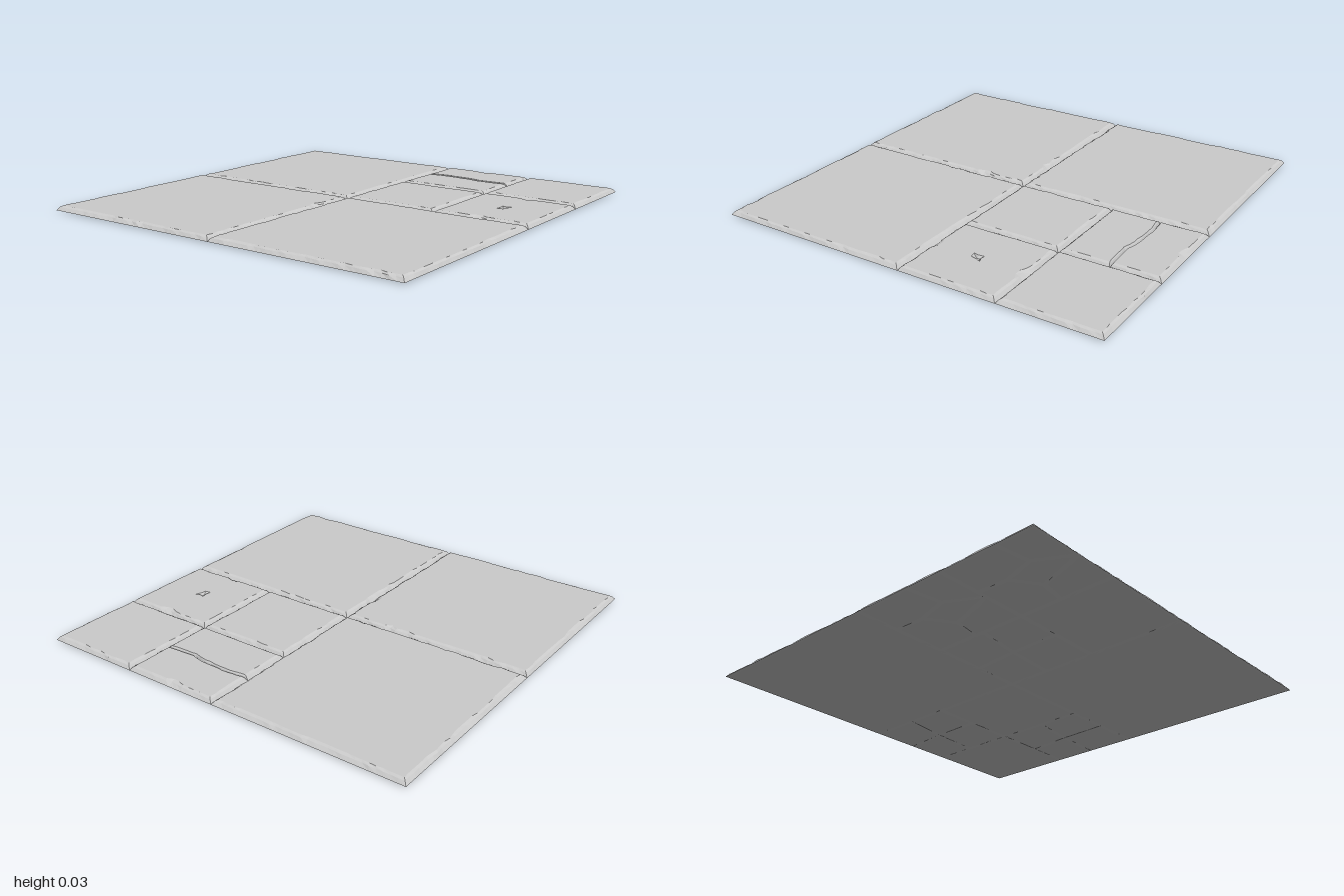
import * as THREE from 'three';

const FLOOR = 0.005, TOP = 0.027;
const stoneMat = new THREE.MeshStandardMaterial({ color: 0xcccccc, flatShading: true });

// Places where an edge is knocked out: x, z
const chips = [[0.98, 0.24], [0.48, 0.77], [0.02, 0.74], [-0.24, -0.02], [-0.02, -0.25]];

function seeded(seed) {
  let s = seed * 7919 + 17;
  return () => (s = (s * 16807) % 2147483647) / 2147483647;
}

// Moves the edges of a polygon inwards (one width per edge), corners mitred
function insetPolygon(poly, widths) {
  const n = poly.length;
  const edge = i => {
    const a = poly[i], b = poly[(i + 1) % n];
    const dx = b[0] - a[0], dz = b[1] - a[1], l = Math.hypot(dx, dz);
    return [-dz / l, dx / l];
  };
  return poly.map((p, i) => {
    const h = (i + n - 1) % n;
    const n0 = edge(h), n1 = edge(i);
    const det = n0[0] * n1[1] - n0[1] * n1[0];
    if (Math.abs(det) < 0.15) return [p[0] + n1[0] * widths[i], p[1] + n1[1] * widths[i]];
    return [
      p[0] + (widths[h] * n1[1] - widths[i] * n0[1]) / det,
      p[1] + (n0[0] * widths[i] - n1[0] * widths[h]) / det,
    ];
  });
}

// One worn stone: an outer loop in the groove, a mid loop and a ragged top loop
function stone(name, poly, { y0 = FLOOR, y1 = TOP, widths, width = 0.022, wear = 0.007, seed = 1, pit } = {}) {
  const rand = seeded(seed), n = poly.length;
  const w = widths || poly.map(() => width);
  const inner = insetPolygon(poly, w);
  const outerLoop = [], midLoop = [], topLoop = [];
  const midY = y0 + (y1 - y0) * 0.72;
  for (let i = 0; i < n; i++) {
    const j = (i + 1) % n, a = poly[i], b = poly[j], c = inner[i], d = inner[j];
    const len = Math.hypot(b[0] - a[0], b[1] - a[1]);
    const nx = -(b[1] - a[1]) / len, nz = (b[0] - a[0]) / len;
    const count = Math.max(2, Math.round(len / 0.035));
    let drift = 0;
    for (let k = 0; k < count; k++) {
      const t = k / count;
      if (rand() < 0.45) drift = rand() - 0.45;
      let push = k === 0 ? 0 : drift * wear;
      const ox = a[0] + (b[0] - a[0]) * t, oz = a[1] + (b[1] - a[1]) * t;
      let ix = c[0] + (d[0] - c[0]) * t, iz = c[1] + (d[1] - c[1]) * t;
      if (k > 0 && chips.some(p => Math.hypot(p[0] - ix, p[1] - iz) < 0.026)) push += 0.015;
      ix += nx * push;
      iz += nz * push;
      const m = 0.55 + (k ? (rand() - 0.5) * 0.2 : 0);
      outerLoop.push([ox, y0, oz]);
      midLoop.push([ox + (ix - ox) * m, midY, oz + (iz - oz) * m]);
      topLoop.push([ix, y1, iz]);
    }
  }

  const pos = [], up = Math.sign(y1 - y0);
  const tri = (a, b, c) => {
    const ny = (b[2] - a[2]) * (c[0] - a[0]) - (b[0] - a[0]) * (c[2] - a[2]);
    if (ny * up >= 0) pos.push(...a, ...b, ...c);
    else pos.push(...a, ...c, ...b);
  };
  const band = (lo, hi) => lo.forEach((p, i) => {
    const j = (i + 1) % lo.length;
    tri(p, lo[j], hi[j]);
    tri(p, hi[j], hi[i]);
  });
  band(outerLoop, midLoop);
  band(midLoop, topLoop);

  // Flat face, with a small pit where asked
  const hole = pit ? pit.map(([x, z]) => [x, y1, z]) : [];
  const flat = loop => loop.map(p => new THREE.Vector2(p[0], p[2]));
  const all = [...topLoop, ...hole];
  THREE.ShapeUtils.triangulateShape(flat(topLoop), pit ? [flat(hole)] : [])
    .forEach(f => tri(all[f[0]], all[f[1]], all[f[2]]));
  if (pit) {
    const cx = hole.reduce((s, p) => s + p[0], 0) / hole.length;
    const cz = hole.reduce((s, p) => s + p[2], 0) / hole.length;
    const low = hole.map(p => [cx + (p[0] - cx) * 0.4, y1 - 0.013 * up, cz + (p[2] - cz) * 0.4]);
    band(hole, low);
    low.forEach((p, i) => tri(p, low[(i + 1) % low.length], [cx, y1 - 0.013 * up, cz]));
  }

  const geo = new THREE.BufferGeometry();
  geo.setAttribute('position', new THREE.Float32BufferAttribute(pos, 3));
  geo.computeVertexNormals();
  const mesh = new THREE.Mesh(geo, stoneMat);
  mesh.name = name;
  return mesh;
}

const rect = (x, z, s) => [[x, z], [x + s, z], [x + s, z + s], [x, z + s]];

// Ways a square of the underside breaks up, in unit coordinates
const quartered = {
  points: [[0, 0], [0.46, 0], [1, 0], [1, 0.52], [1, 1], [0.55, 1], [0, 1], [0, 0.47], [0.52, 0.48]],
  faces: [[0, 1, 8, 7], [1, 2, 3, 8], [8, 3, 4, 5], [7, 8, 5, 6]],
};
const shattered = {
  points: [[0, 0], [0.4, 0], [1, 0], [1, 0.45], [1, 1], [0.55, 1], [0, 1], [0, 0.55], [0.35, 0.36], [0.68, 0.46], [0.5, 0.72]],
  faces: [[0, 1, 8, 7], [1, 2, 3, 9, 8], [9, 3, 4, 5, 10], [7, 8, 9, 10], [7, 10, 5, 6]],
};

export function createModel() {
  const model = new THREE.Group();
  model.name = 'stoneFloorSlab';

  // Upper face: three large tiles and a quarter of small ones
  const upper = new THREE.Group();
  upper.name = 'upperTiles';
  [[-1, -1], [0, -1], [-1, 0]].forEach(([x, z], i) =>
    upper.add(stone('largeTile', rect(x, z, 1), { width: 0.023, wear: 0.011, seed: i + 3 })));
  const pit = [[0.21, 0.728], [0.235, 0.733], [0.268, 0.729], [0.262, 0.75], [0.272, 0.775], [0.24, 0.763], [0.215, 0.758]];
  upper.add(stone('smallTile', rect(0, 0, 0.5), { seed: 11 }));
  upper.add(stone('pittedTile', rect(0, 0.5, 0.5), { seed: 12, pit }));
  upper.add(stone('smallTile', rect(0.5, 0.5, 0.5), { seed: 13 }));

  // Tile split by a crack
  const crack = [[0.755, 0], [0.768, 0.1], [0.762, 0.26], [0.745, 0.33], [0.755, 0.5]];
  const g = 0.022, c = 0.01;
  upper.add(stone('crackedTileRight', [[0.5, 0], ...crack, [0.5, 0.5]],
    { widths: [g, c, c, c, c, g, g], wear: 0.006, seed: 14 }));
  upper.add(stone('crackedTileLeft', [[1, 0], [1, 0.5], ...crack.slice().reverse()],
    { widths: [g, g, c, c, c, c, g], wear: 0.006, seed: 15 }));

  // Underside: two large tiles and two quarters of broken ones in low relief
  const lower = new THREE.Group();
  lower.name = 'undersideTiles';
  const under = { y0: FLOOR - 0.0005, y1: 0 };
  [[0, -1], [-1, 0]].forEach(([x, z], i) =>
    lower.add(stone('largeUnderTile', rect(x, z, 1), { ...under, width: 0.025, seed: i + 21 })));
  [[0, 0], [0.5, 0.5], [-1, -0.5]].forEach(([x, z], i) =>
    lower.add(stone('smallUnderTile', rect(x, z, 0.5), { ...under, seed: i + 31 })));
  [[0.5, 0, quartered], [0, 0.5, quartered], [-0.5, -0.5, quartered], [-0.5, -1, shattered], [-1, -1, shattered]]
    .forEach(([x, z, { points, faces }], i) => faces.forEach((f, k) => {
      const poly = f.map(v => [x + points[v][0] / 2, z + points[v][1] / 2]);
      lower.add(stone('brokenStone', poly, { ...under, width: 0.02, seed: 41 + i * 7 + k }));
    }));

  model.add(upper, lower);
  return model;
}
